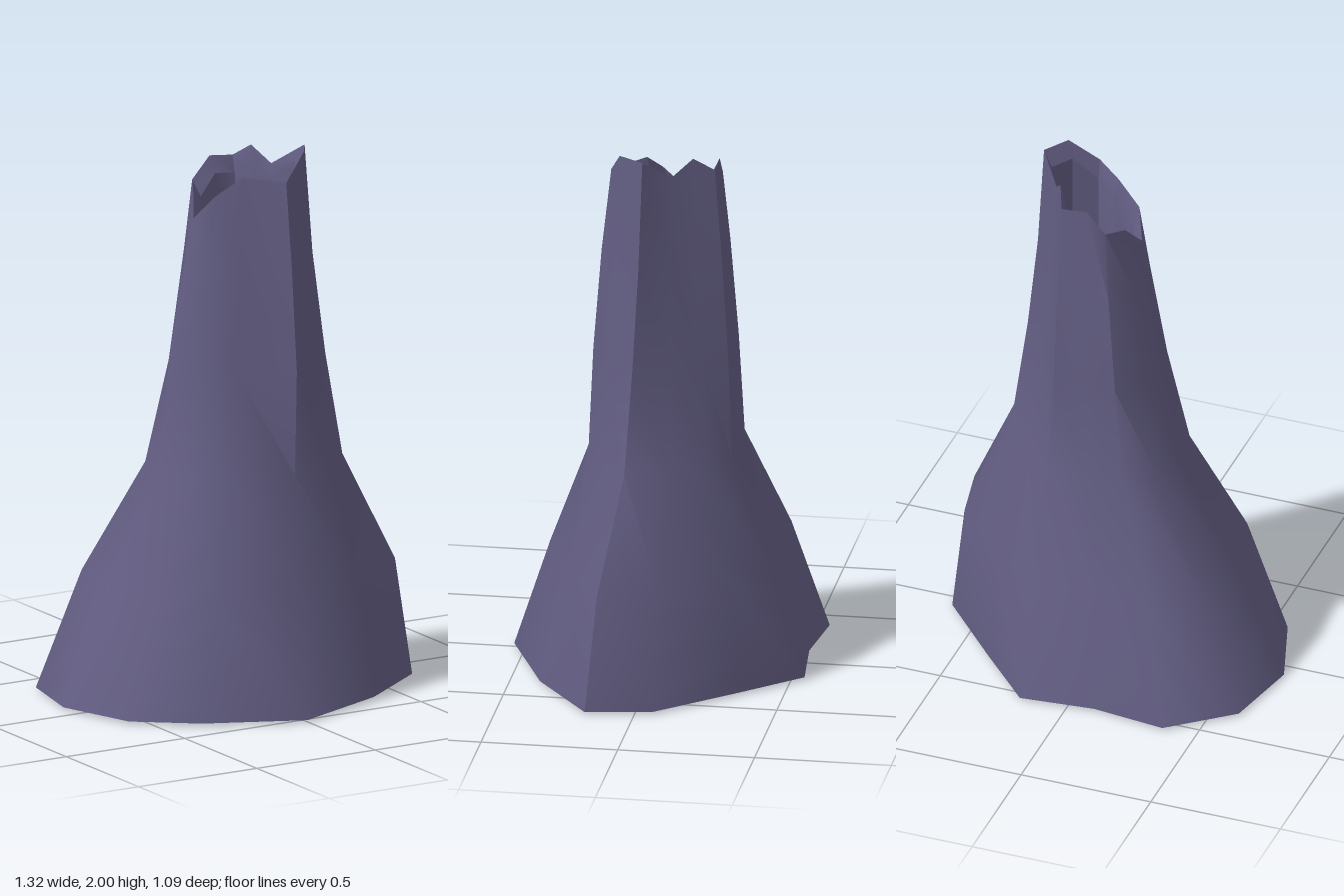
import * as THREE from 'three';
import { toCreasedNormals } from 'three/addons/utils/BufferGeometryUtils.js';

// Cross-sections, twelve x,z pairs each, running from the back-left corner round by +x
const sections = [
  [0.01, [-.375, -.55, -.1, -.52, .175, -.548, .375, -.335, .617, -.067, .66, .177, .37, .387, -.007, .543, -.358, .387, -.567, .223, -.663, -.07, -.6, -.365]],
  [0.44, [-.28, -.425, -.06, -.4, .185, -.425, .365, -.295, .565, -.08, .61, .14, .36, .285, .06, .4, -.25, .32, -.42, .2, -.475, -.07, -.44, -.31]],
  [0.84, [-.125, -.28, .025, -.27, .165, -.28, .27, -.21, .35, -.09, .43, .07, .31, .165, .12, .25, -.11, .19, -.235, .1, -.26, -.07, -.235, -.205]],
  [1.22, [-.085, -.265, .04, -.257, .152, -.265, .215, -.175, .28, -.07, .37, .05, .28, .145, .14, .23, -.045, .11, -.165, .055, -.22, -.07, -.16, -.165]],
  [1.6, [-.05, -.24, .04, -.235, .145, -.24, .195, -.155, .24, -.07, .325, .035, .255, .13, .137, .2, 0, .075, -.11, .025, -.15, -.067, -.105, -.145]],
];
// Broken rim: every corner has its own height
const rimXZ = [-.03, -.216, .043, -.216, .14, -.214, .172, -.14, .215, -.07, .298, .025, .238, .117, .135, .165, .02, .053, -.075, .01, -.115, -.067, -.075, -.135];
const rimY = [1.86, 1.94, 1.93, 1.98, 1.92, 2, 2, 1.91, 1.92, 1.85, 1.76, 1.84];

const ring = (xz, height) => Array.from({ length: 12 }, (_, i) =>
  new THREE.Vector3(xz[2 * i], height(i), xz[2 * i + 1]));

function meshFrom(name, triangles, crease, material) {
  const geometry = new THREE.BufferGeometry().setFromPoints(triangles);
  const mesh = new THREE.Mesh(toCreasedNormals(geometry, THREE.MathUtils.degToRad(crease)), material);
  mesh.name = name;
  return mesh;
}

// Joins successive rings with quads
function loft(rings) {
  const out = [];
  for (let r = 0; r < rings.length - 1; r++) {
    for (let i = 0; i < 12; i++) {
      const j = (i + 1) % 12;
      const [a, b, c, d] = [rings[r][i], rings[r + 1][i], rings[r + 1][j], rings[r][j]];
      out.push(a, b, c, a, c, d);
    }
  }
  return out;
}

// Closes a ring with a fan around a centre point
function cap(points, centre, up) {
  return points.flatMap((p, i) => {
    const q = points[(i + 1) % 12];
    return up ? [p, centre, q] : [p, q, centre];
  });
}

export function createModel() {
  const group = new THREE.Group();
  group.name = 'rockSpire';
  const stone = new THREE.MeshStandardMaterial({ color: 0x625d82 });
  stone.name = 'purple stone';

  const rings = sections.map(([y, xz]) => ring(xz, () => y));
  const rim = ring(rimXZ, (i) => rimY[i]);

  // Flared outer wall up to the jagged rim, smooth but for its sharpest ridges
  group.add(meshFrom('outerWall', loft([...rings, rim]), 55, stone));

  // Hollow top: bevelled lip, straight walls and a flat floor
  const centre = new THREE.Vector3(0.09, 1.52, -0.04);
  const lip = rim.map((p) => p.clone().lerp(centre, 0.16).setY(p.y - 0.06));
  const floor = lip.map((p) => p.clone().setY(centre.y));
  group.add(meshFrom('hollowWall', loft([rim, lip, floor]), 25, stone));
  group.add(meshFrom('hollowFloor', cap(floor, centre, true), 25, stone));

  // Flat underside
  group.add(meshFrom('underside', cap(rings[0], new THREE.Vector3(0, 0, 0), false), 25, stone));
  return group;
}
